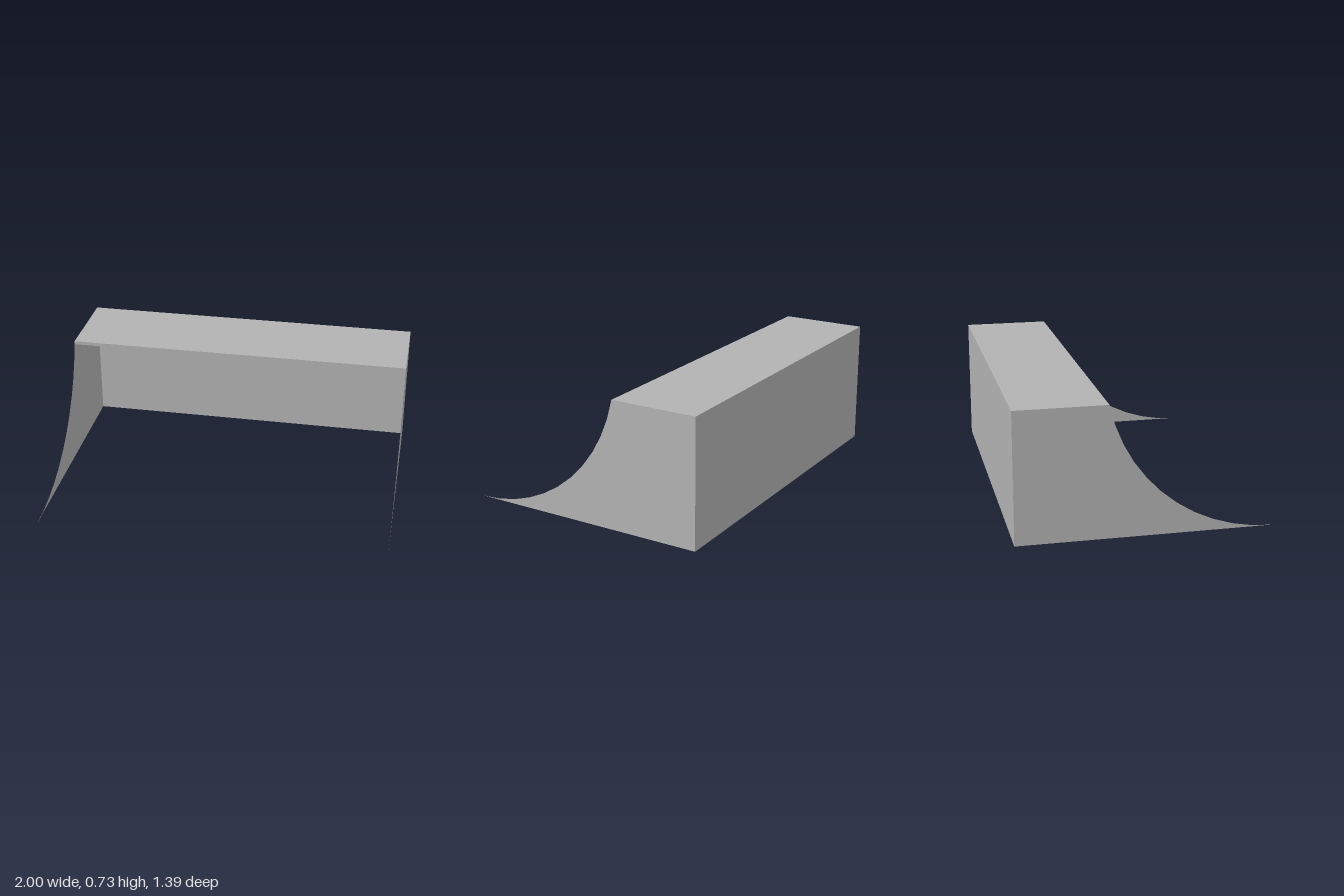
import * as THREE from 'three';

export function createModel() {
  const group = new THREE.Group();
  group.name = 'quarterPipeFrame';
  const grey = new THREE.MeshStandardMaterial({ color: 0xb2b2b2, side: THREE.DoubleSide });
  grey.name = 'grey';

  const height = 0.727, back = -0.697, front = 0.697, lip = -0.197;
  const add = (name, geometry, x, y, z) => {
    const mesh = new THREE.Mesh(geometry, grey);
    mesh.name = name;
    mesh.position.set(x, y, z);
    group.add(mesh);
  };

  // Side panels: straight back and deck, circular transition down to the toe
  const run = front - lip;
  const radius = (run * run + height * height) / (2 * height);
  const sweep = Math.acos((radius - height) / radius);
  const segments = 11;
  const profile = new THREE.Shape();
  profile.moveTo(back, 0);
  for (let i = 0; i <= segments; i++) {
    const a = (sweep * i) / segments;
    profile.lineTo(front - radius * Math.sin(a), radius * (1 - Math.cos(a)));
  }
  profile.lineTo(back, height);
  const panel = new THREE.ShapeGeometry(profile).rotateY(-Math.PI / 2);
  add('leftSidePanel', panel, 1, 0, 0);
  add('rightSidePanel', panel, -1, 0, 0);

  // Back wall, facing backwards
  add('backWall', new THREE.PlaneGeometry(2, height).rotateY(Math.PI), 0, height / 2, back);

  // Deck on top
  add('deck', new THREE.PlaneGeometry(2, lip - back).rotateX(-Math.PI / 2), 0, height, (lip + back) / 2);

  // Narrow lip hanging below the front edge of the deck
  const lipHeight = 0.02, lipDepth = 0.01;
  add('lip', new THREE.BoxGeometry(2, lipHeight, lipDepth), 0, height - lipHeight / 2 - 0.0005, lip - lipDepth / 2);

  return group;
}
